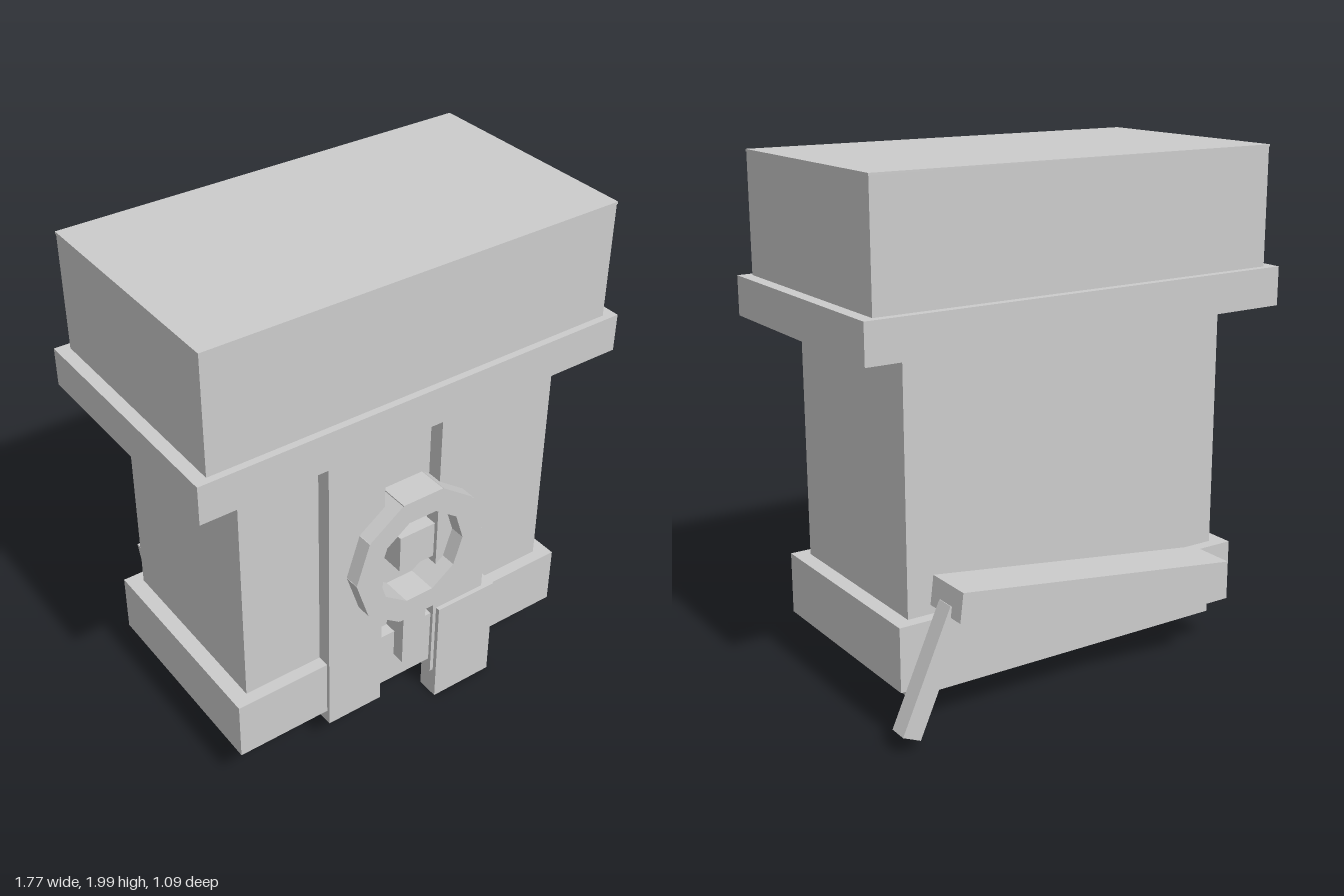
import * as THREE from 'three';

export function createModel() {
  const model = new THREE.Group();
  const grey = new THREE.MeshStandardMaterial({ color: 0xcccccc });
  grey.name = 'plain grey';

  // Box given by its extents on each axis
  function block(name, [x0, x1], [y0, y1], [z0, z1]) {
    const mesh = new THREE.Mesh(new THREE.BoxGeometry(x1 - x0, y1 - y0, z1 - z0), grey);
    mesh.position.set((x0 + x1) / 2, (y0 + y1) / 2, (z0 + z1) / 2);
    mesh.name = name;
    model.add(mesh);
    return mesh;
  }

  // Box given by centre and size, turned about z
  function tilted(name, size, centre, angle, parent = model) {
    const mesh = new THREE.Mesh(new THREE.BoxGeometry(...size), grey);
    mesh.position.set(...centre);
    mesh.rotation.z = angle;
    mesh.name = name;
    parent.add(mesh);
    return mesh;
  }

  // Main stack
  block('body', [-0.69, 0.687], [0.13, 1.39], [-0.403, 0.355]);
  block('baseBand', [-0.752, 0.747], [0.187, 0.43], [-0.45, 0.403]);
  block('brim', [-0.89, 0.885], [1.38, 1.53], [-0.514, 0.46]);
  block('head', [-0.841, 0.837], [1.53, 1.978], [-0.483, 0.433]);
  block('lid', [-0.843, 0.839], [1.978, 1.987], [-0.486, 0.436]);

  // Front straps and foot
  block('rightStrap', [-0.367, -0.127], [0.13, 1.38], [0.34, 0.417]);
  block('leftStrap', [0.12, 0.36], [0.13, 1.38], [0.34, 0.417]);
  block('frontFoot', [0.135, 0.408], [0, 0.46], [0.345, 0.435]);

  // Ring of ten blocks with a hub and a hanging tab
  const ring = new THREE.Group();
  ring.name = 'ring';
  ring.position.set(-0.002, 0.828, 0.417);
  model.add(ring);
  for (let i = 0; i < 10; i++) {
    const a = (i / 10) * Math.PI * 2;
    tilted('ringSegment', [0.175, 0.09, 0.122],
      [-Math.sin(a) * 0.229, Math.cos(a) * 0.229, 0], a, ring);
  }
  block('hub', [-0.081, 0.074], [0.78, 0.933], [0.35, 0.455]);
  block('ringTab', [-0.055, 0.049], [0.31, 0.58], [0.35, 0.456]);

  // Sloping bar and its strut at the back
  tilted('backBar', [1.2, 0.11, 0.197], [0, 0.45, -0.513], 0.125);
  tilted('backStrut', [0.076, 0.48, 0.074], [0.666, 0.278, -0.513], 0.42);

  return model;
}
